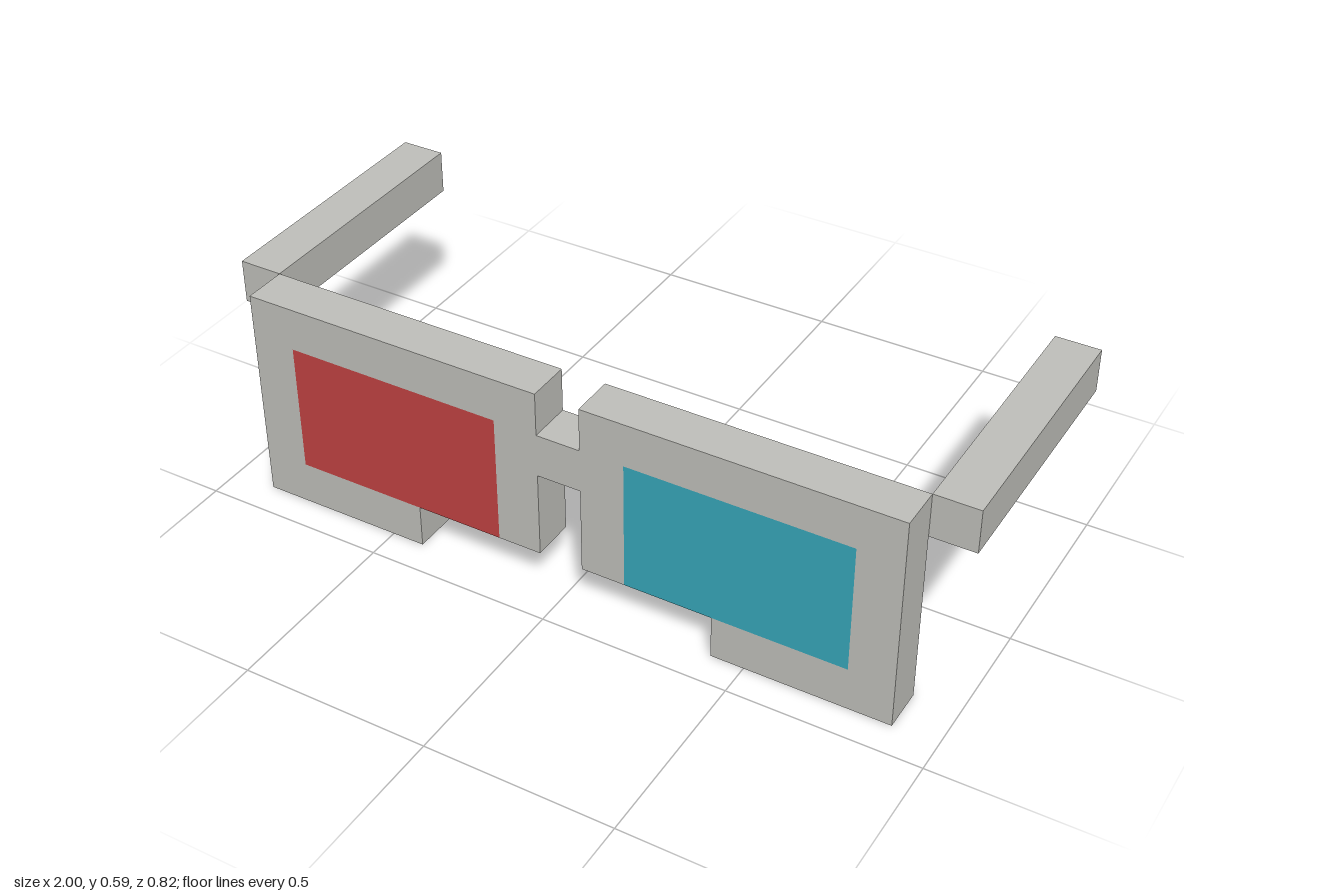
import * as THREE from 'three';

const U = 2 / 17;          // block unit
const FRONT = 3.5 * U;     // front plane of the glasses

const material = (name, color) => {
  const m = new THREE.MeshStandardMaterial({ color });
  m.name = name;
  return m;
};

export function createModel() {
  const group = new THREE.Group();
  const grey = material('frame grey', 0xc1c1bc);
  const red = material('lens red', 0xc24242);
  const cyan = material('lens cyan', 0x37a7ba);

  const add = (name, geometry, mat) => {
    const mesh = new THREE.Mesh(geometry, mat);
    mesh.name = name;
    group.add(mesh);
    return mesh;
  };

  // Box from opposite corners, in block units
  const block = (name, mat, [x0, y0, z0], [x1, y1, z1]) =>
    add(name, new THREE.BoxGeometry((x1 - x0) * U, (y1 - y0) * U, (z1 - z0) * U), mat)
      .position.set((x0 + x1) / 2 * U, (y0 + y1) / 2 * U, (z0 + z1) / 2 * U);

  // Stepped rim, open at the bottom inner side where the lens reaches the edge
  const rim = [[7.5, 0], [7.5, 5], [0.5, 5], [0.5, 1], [1.5, 1], [1.5, 4],
    [6.5, 4], [6.5, 1], [3.5, 1], [3.5, 0]];

  for (const [side, s, lensMat] of [['left', 1, cyan], ['right', -1, red]]) {
    const shape = new THREE.Shape(rim.map(([x, y]) => new THREE.Vector2(s * x * U, y * U)));
    const geometry = new THREE.ExtrudeGeometry(shape, { depth: U, bevelEnabled: false });
    add(side + 'Rim', geometry, grey).position.z = FRONT - U;

    // Solid lens, flush with the rim
    const [a, b] = s > 0 ? [1.5, 6.5] : [-6.5, -1.5];
    block(side + 'Lens', lensMat, [a, 1, 2.5], [b, 4, 3.5]);

    // Temple arm running back from the outer top corner
    const [c, d] = s > 0 ? [7.5, 8.5] : [-8.5, -7.5];
    block(side + 'Arm', grey, [c, 4, -3.5], [d, 5, 2.5]);
  }

  // Nose bridge
  block('bridge', grey, [-0.5, 3, 2.5], [0.5, 4, 3.5]);

  return group;
}
